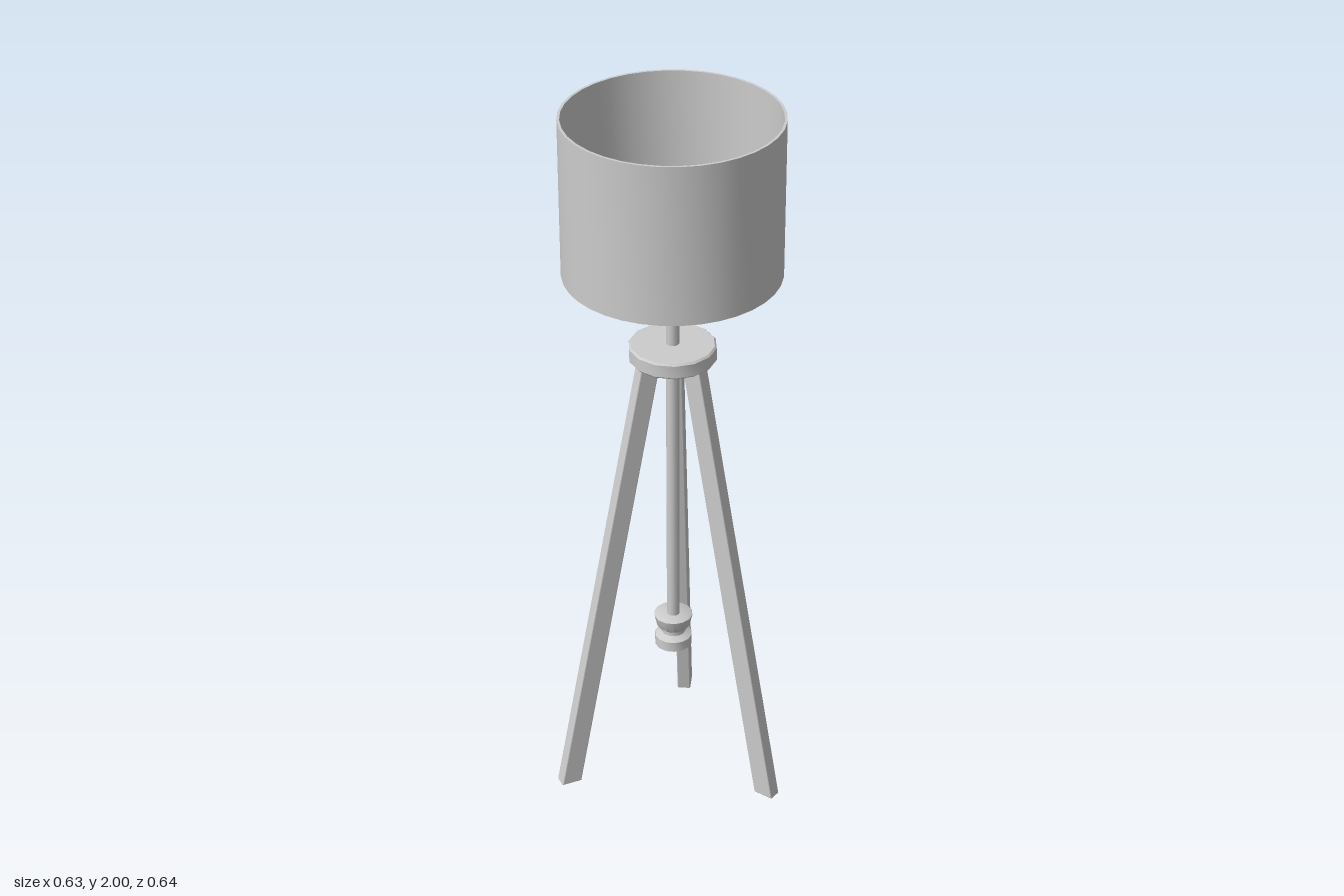
import * as THREE from 'three';
import { toCreasedNormals } from 'three/addons/utils/BufferGeometryUtils.js';

const material = new THREE.MeshStandardMaterial({ color: 0xcccccc });

function addMesh(parent, name, geometry, y = 0) {
  const mesh = new THREE.Mesh(geometry, material);
  mesh.name = name;
  mesh.position.y = y;
  parent.add(mesh);
  return mesh;
}

// Turned part from a bottom-to-top profile, with sharp rims kept sharp
function turned(points, sides) {
  const profile = points.map(([r, y]) => new THREE.Vector2(r, y));
  return toCreasedNormals(new THREE.LatheGeometry(profile, sides), 0.7);
}

export function createModel() {
  const model = new THREE.Group();
  model.name = 'tripodFloorLamp';
  const lamp = new THREE.Group();
  lamp.name = 'lamp';
  lamp.position.z = -0.033; // pole axis sits behind the centre of the footprint
  model.add(lamp);

  // Open drum shade with a thin wall
  addMesh(lamp, 'shade', turned([
    [0.280, 1.566], [0.287, 1.566], [0.287, 2], [0.280, 2], [0.280, 1.566],
  ], 36));

  // Four spokes carrying the shade
  for (let i = 0; i < 4; i++) {
    const spoke = addMesh(lamp, 'shadeSpoke',
      new THREE.CylinderGeometry(0.005, 0.005, 0.282, 8).rotateZ(Math.PI / 2).translate(0.141, 0, 0), 1.66);
    spoke.rotation.y = i * Math.PI / 2;
  }

  // Bulb, pole and the disc joining the legs
  addMesh(lamp, 'bulb', new THREE.SphereGeometry(0.06, 7, 8), 1.72);
  addMesh(lamp, 'pole', new THREE.CylinderGeometry(0.018, 0.018, 1.19, 12), 1.075);
  addMesh(lamp, 'hubDisc', turned([
    [0, 1.31], [0.112, 1.31], [0.117, 1.315], [0.117, 1.35], [0.112, 1.355], [0, 1.355],
  ], 14));
  addMesh(lamp, 'hubCollar', new THREE.CylinderGeometry(0.025, 0.025, 0.05, 12), 1.29);

  // Waisted counterweight at the lower end of the pole
  addMesh(lamp, 'counterweight', turned([
    [0, 0.39], [0.052, 0.39], [0.052, 0.42], [0.034, 0.431], [0.034, 0.443],
    [0.046, 0.453], [0.054, 0.487], [0.05, 0.49], [0, 0.49],
  ], 14));

  // Three splayed legs: leaning side profile, given width with softened edges
  const bevel = 0.003;
  const side = new THREE.Shape([
    [0.298, bevel], [0.350, bevel], [0.093, 1.312], [0.046, 1.312],
  ].map(([r, y]) => new THREE.Vector2(r, y)));
  const width = 0.038;
  const legGeometry = new THREE.ExtrudeGeometry(side, {
    depth: width - 2 * bevel, bevelEnabled: true,
    bevelSize: bevel, bevelThickness: bevel, bevelSegments: 2,
  });
  legGeometry.translate(0, 0, bevel - width / 2).rotateY(-Math.PI / 2);
  ['frontLeg', 'leftRearLeg', 'rightRearLeg'].forEach((name, i) => {
    addMesh(lamp, name, legGeometry).rotation.y = i * Math.PI * 2 / 3;
  });

  return model;
}
